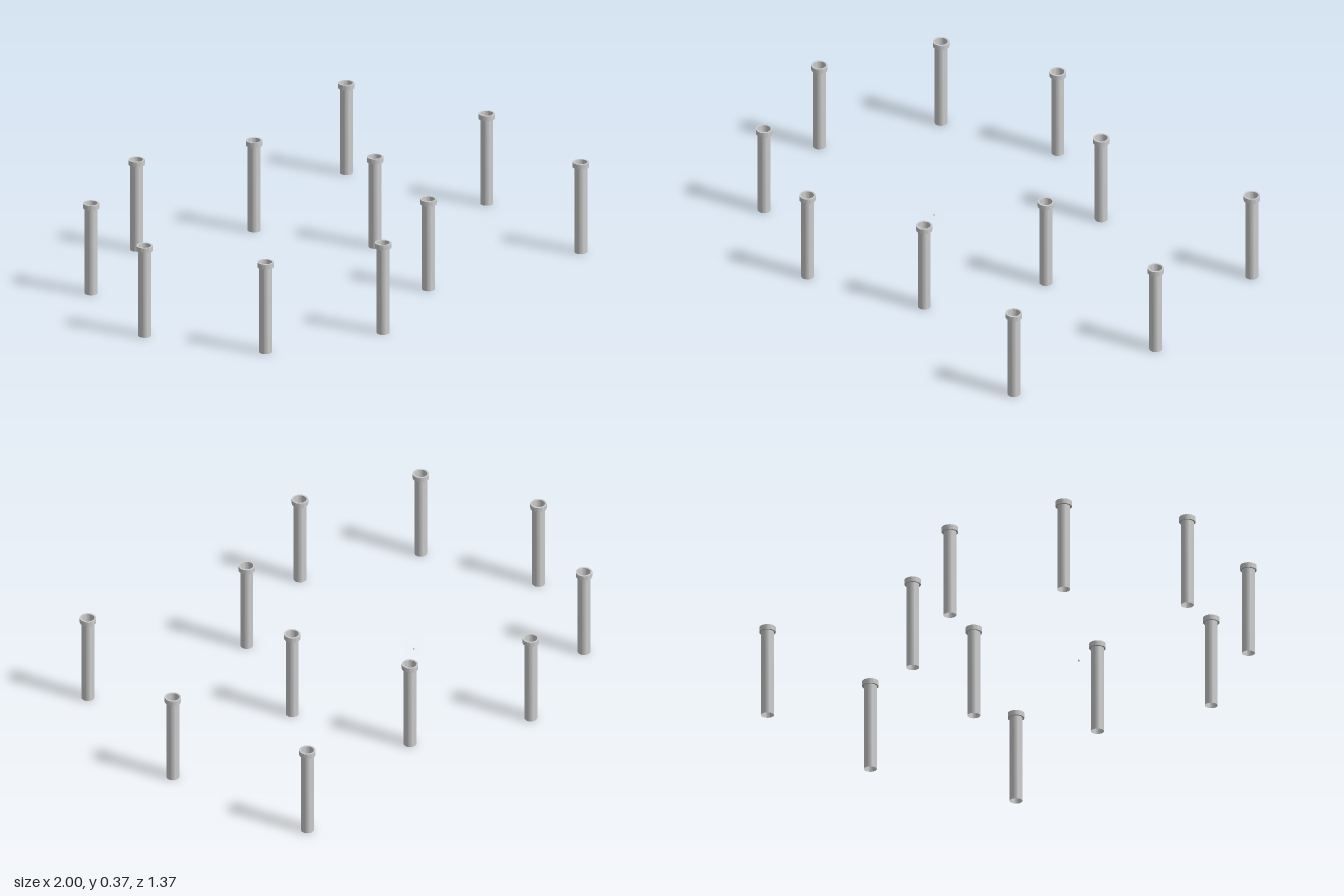
import * as THREE from 'three';
import { toCreasedNormals } from 'three/addons/utils/BufferGeometryUtils.js';

const HEIGHT = 0.373, COLLAR_Y = 0.353;
const TUBE_R = 0.025, COLLAR_R = 0.032;
const RING_X = -0.316, RING_R = 0.652;

export function createModel() {
  const group = new THREE.Group();
  const material = new THREE.MeshStandardMaterial({ color: 0xcccccc, side: THREE.DoubleSide });

  // Open tubular post with a stepped collar at its upper end
  const lathe = (points) => toCreasedNormals(
    new THREE.LatheGeometry(points.map(([r, y]) => new THREE.Vector2(r, y)), 32), 0.6);
  const tube = lathe([[TUBE_R, 0], [TUBE_R, HEIGHT]]);
  const collar = lathe([
    [TUBE_R, COLLAR_Y], [COLLAR_R, COLLAR_Y], [COLLAR_R, HEIGHT], [TUBE_R, HEIGHT],
  ]);

  function addPost(name, x, z) {
    const post = new THREE.Group();
    post.name = name;
    const shaft = new THREE.Mesh(tube, material);
    shaft.name = 'postTube';
    const rim = new THREE.Mesh(collar, material);
    rim.name = 'postCollar';
    post.add(shaft, rim);
    post.position.set(x, 0, z);
    group.add(post);
  }

  // Ring of eight posts
  for (let i = 0; i < 8; i++) {
    const a = (i * Math.PI) / 4;
    addPost('ringPost', RING_X + RING_R * Math.cos(a), RING_R * Math.sin(a));
  }

  // Three outlying posts on the left
  addPost('outerPost', 0.968, 0);
  for (const side of [-1, 1]) addPost('outerPost', 0.837, side * 0.62);

  // Tiny marker at the middle of the ring
  const marker = new THREE.Mesh(new THREE.BoxGeometry(0.005, 0.005, 0.005), material);
  marker.name = 'centreMarker';
  marker.position.set(-0.307, 0.0025, 0);
  group.add(marker);

  return group;
}
